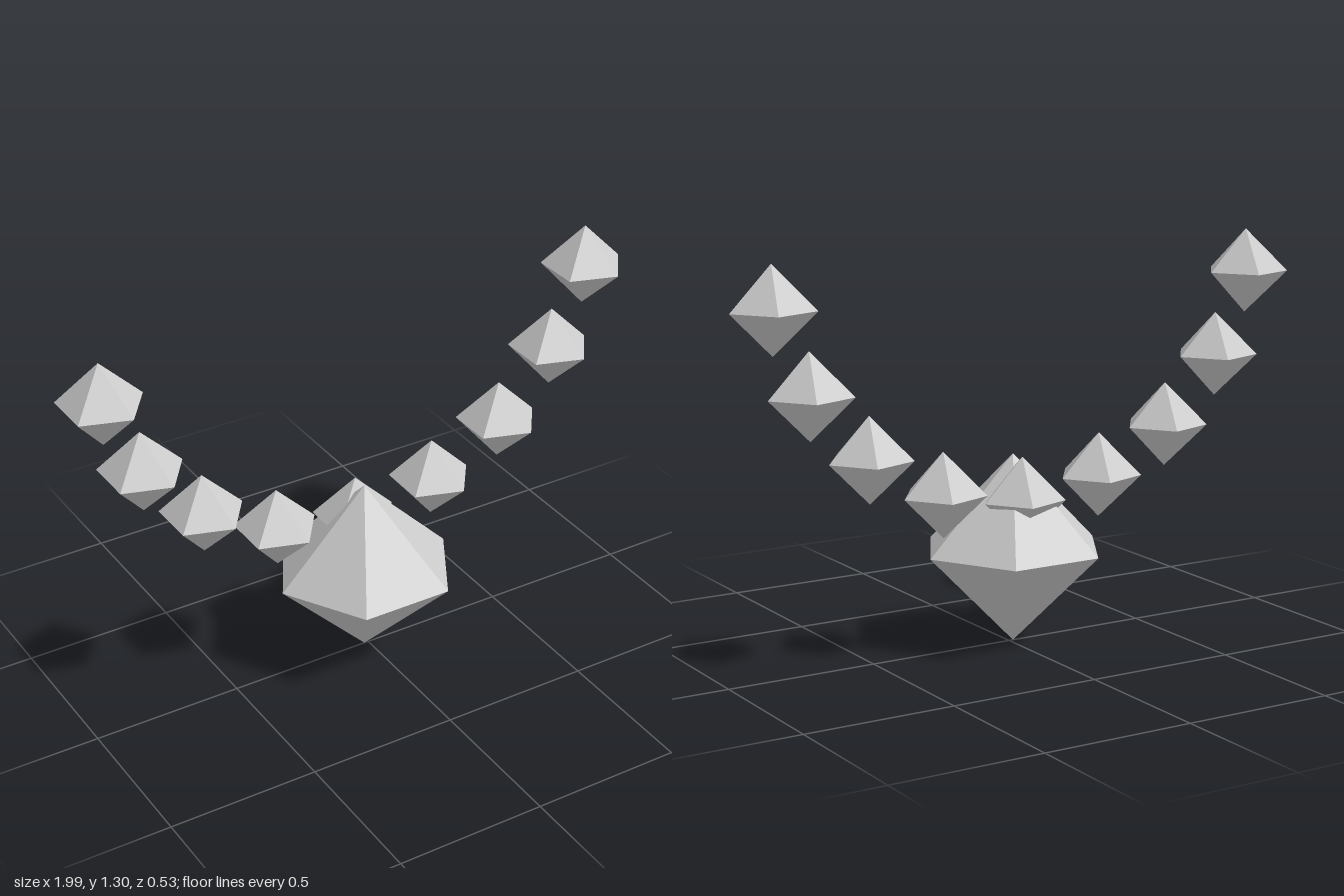
import * as THREE from 'three';

const material = new THREE.MeshStandardMaterial({ color: 0xcccccc, flatShading: true });

// Double pyramid with one corner pointing along +x
function createGem(name, sides, radius, halfHeight) {
  const profile = [
    new THREE.Vector2(0, -halfHeight),
    new THREE.Vector2(radius, 0),
    new THREE.Vector2(0, halfHeight),
  ];
  const mesh = new THREE.Mesh(new THREE.LatheGeometry(profile, sides, Math.PI / 2), material);
  mesh.name = name;
  return mesh;
}

export function createModel() {
  const model = new THREE.Group();
  model.name = 'gemNecklace';
  const centreX = -0.015;

  // Large six-sided pendant
  const pendant = createGem('pendant', 6, 0.307, 0.31);
  pendant.position.set(centreX, 0.31, 0);
  model.add(pendant);

  // Nine five-sided beads along a circular arc
  const arcRadius = 0.9;
  const step = THREE.MathUtils.degToRad(18.9);
  const beads = new THREE.Group();
  beads.name = 'beads';
  for (let i = -4; i <= 4; i++) {
    const bead = createGem(`bead${i + 5}`, 5, 0.139, 0.139);
    bead.position.set(
      centreX + arcRadius * Math.sin(i * step),
      0.48 + arcRadius * (1 - Math.cos(i * step)),
      -0.057
    );
    beads.add(bead);
  }
  model.add(beads);

  return model;
}
